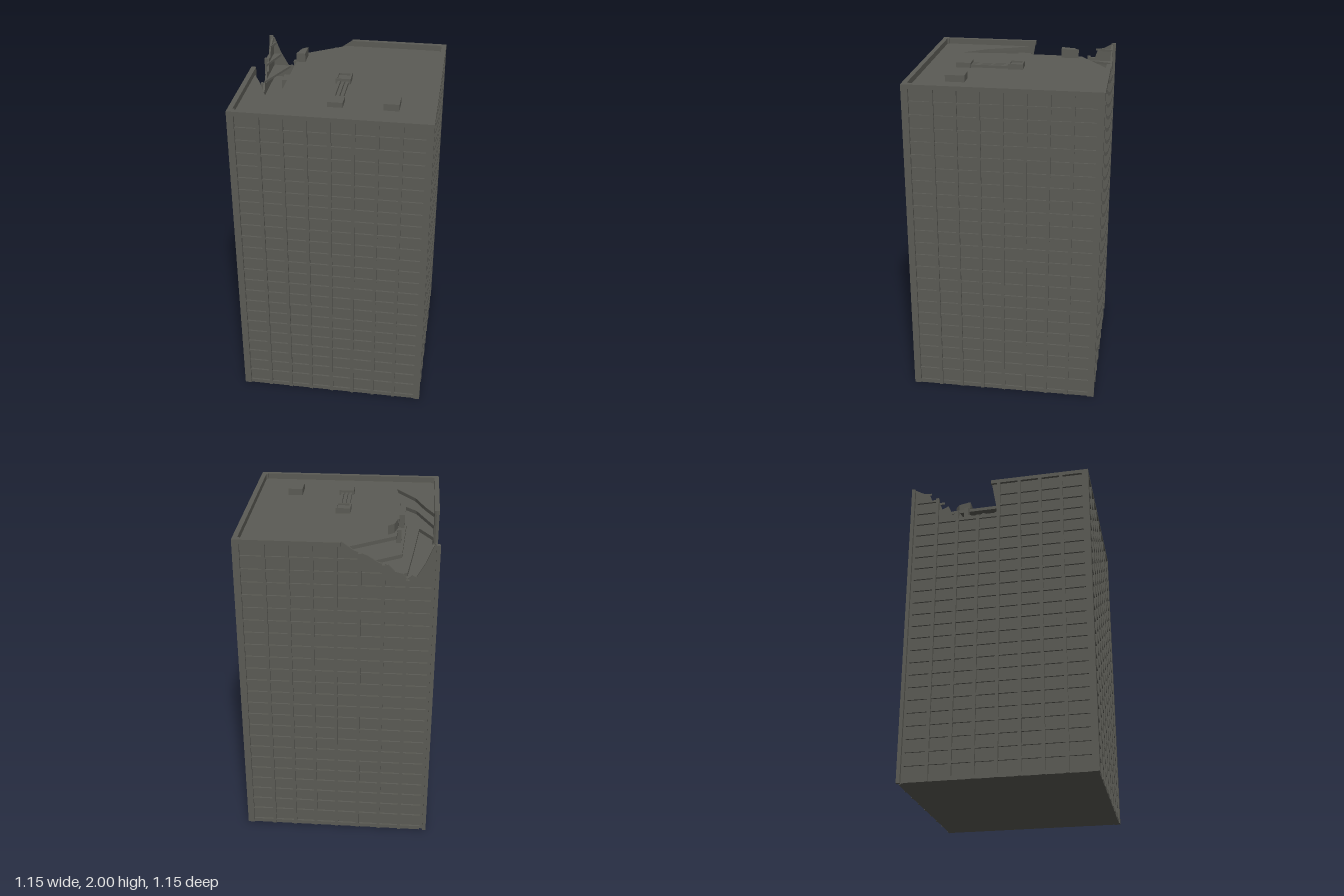
import * as THREE from 'three';
import { mergeGeometries } from 'three/addons/utils/BufferGeometryUtils.js';

const concrete = new THREE.MeshStandardMaterial({ color: 0x5b5b55 });
concrete.name = 'weathered concrete';

const HALF = 0.575, TOP = 1.98, ROOF = 1.945, FLOOR = 0.08, POST = 0.04;
const COLS = 8, ROWS = 24, INNER = HALF - POST;
const PITCH = (2 * INNER) / COLS, STOREY = 1.93 / ROWS;

// Box given by its minimum and maximum corners
function box(x0, x1, y0, y1, z0, z1) {
  return new THREE.BoxGeometry(x1 - x0, y1 - y0, z1 - z0)
    .translate((x0 + x1) / 2, (y0 + y1) / 2, (z0 + z1) / 2);
}

function add(parent, name, geometry) {
  const mesh = new THREE.Mesh(geometry, concrete);
  mesh.name = name;
  parent.add(mesh);
  return mesh;
}

function outline(points) {
  return new THREE.Shape(points.map(([x, y]) => new THREE.Vector2(x, y)));
}

// Horizontal plate from an x/z outline, hanging down from y
function slab(points, y, thickness) {
  return new THREE.ExtrudeGeometry(outline(points), { depth: thickness, bevelEnabled: false })
    .rotateX(Math.PI / 2).translate(0, y, 0);
}

// Height of the wall edge at u along a facade
function heightAt(edge, u) {
  for (let i = 1; i < edge.length; i++) {
    const [a, ya] = edge[i - 1], [b, yb] = edge[i];
    if (u <= b && b > a) return ya + ((yb - ya) * Math.max(0, u - a)) / (b - a);
  }
  return edge[edge.length - 1][1];
}

// One side of the tower: wall plate, mullions, floor ledges and top band
function facade(name, turn, edge, bandFrom, bandTo) {
  const side = new THREE.Group();
  side.name = name;
  side.rotation.y = turn;

  const wall = outline([[-HALF + 0.02, 0], [HALF - 0.02, 0], ...[...edge].reverse()]);
  add(side, 'wallPlate', new THREE.ExtrudeGeometry(wall, { depth: 0.012, bevelEnabled: false })
    .translate(0, 0, 0.546));

  const mullions = [], ledges = [];
  for (let i = 1; i < COLS; i++) {
    const u = -INNER + i * PITCH;
    mullions.push(box(u - 0.01, u + 0.01, 0, heightAt(edge, u), 0.55, HALF));
  }
  for (let i = 0; i < COLS; i++) {
    const u = -INNER + i * PITCH;
    const limit = Math.min(heightAt(edge, u), heightAt(edge, u + PITCH / 2), heightAt(edge, u + PITCH));
    for (let r = 0; r < ROWS; r++) {
      const y = 0.025 + r * STOREY;
      if (y < limit) ledges.push(box(u, u + PITCH, r ? y - 0.007 : 0, r ? y + 0.007 : y, 0.55, 0.569));
    }
  }
  add(side, 'mullions', mergeGeometries(mullions));
  add(side, 'floorLedges', mergeGeometries(ledges));
  add(side, 'parapetBand', box(bandFrom, bandTo, 1.955, TOP, 0.555, HALF));
  return side;
}

export function createModel() {
  const tower = new THREE.Group();
  tower.name = 'damagedTower';

  // Four facades, two of them torn at the shared back corner
  const E = HALF - 0.02;
  const whole = [[-E, TOP], [E, TOP]];
  const tornBack = [[-E, TOP], [0.03, TOP], [0.1, 1.93], [0.17, 1.905], [0.24, 1.86], [0.29, 1.85],
    [0.33, 1.81], [0.37, 1.8], [0.4, 1.765], [0.43, 1.79], [0.45, 1.78], [0.5, 1.87], [0.54, 1.97], [E, TOP]];
  const tornLeft = [[-E, TOP], [-0.5, 1.95], [-0.46, 1.94], [-0.44, 1.88], [-0.4, 1.89], [-0.37, 1.81],
    [-0.33, 1.83], [-0.3, 1.76], [-0.26, 1.78], [-0.23, 1.73], [-0.19, 1.75], [-0.15, 1.72],
    [-0.1, 1.75], [-0.06, 1.73], [-0.01, 1.75], [-0.05, TOP], [E, TOP]];
  tower.add(facade('frontFacade', 0, whole, -INNER, INNER));
  tower.add(facade('leftFacade', Math.PI / 2, whole, -INNER, INNER));
  tower.add(facade('backFacade', Math.PI, tornBack, -INNER, 0.03));
  tower.add(facade('rightFacade', -Math.PI / 2, tornLeft, -0.05, INNER));

  // Corner posts
  for (const sx of [-1, 1]) for (const sz of [-1, 1]) {
    const size = sx + sz === -2 ? 0.022 : POST;
    const post = add(tower, 'cornerPost', new THREE.BoxGeometry(size, TOP, size));
    post.position.set(sx * (HALF - size / 2), TOP / 2, sz * (HALF - size / 2));
  }

  // Roof and upper floors, each broken away further out than the one above
  const W = 0.555;
  const square = [[W, -W], [W, W], [-W, W]];
  const breaks = [
    [[-W, -0.03], [-0.49, 0.1], [-0.43, 0.25], [-0.31, 0.41], [-0.34, 0.2], [-0.34, 0.04], [-0.335, -0.25],
      [-0.33, -0.37], [-0.05, -W]],
    [[-W, -0.02], [-0.44, 0.24], [-0.37, 0.31], [-0.38, 0], [-0.365, -0.44], [-0.19, -W]],
    [[-W, 0], [-0.46, 0.15], [-0.43, -0.2], [-0.4, -0.51], [-0.34, -W]],
    [[-W, -W]],
  ];
  breaks.forEach((cut, i) =>
    add(tower, i ? 'upperFloor' : 'roof', slab([...square, ...cut], ROOF - i * FLOOR, 0.022)));
  add(tower, 'base', box(-W, W, 0, 0.02, -W, W));

  // Scraps of floor left hanging in the broken corner
  [[0.11, 0.03], [0.2, 0.06], [0.29, 0.12]].forEach(([dz, dx], i) =>
    add(tower, 'floorScrap', slab([[-W, -W], [-W + dx, -W], [-W, -W + dz]], ROOF - i * FLOOR, 0.015)));

  // Exposed columns beneath the torn roof edge
  add(tower, 'exposedColumn', box(-0.37, -0.335, 1.7, ROOF, -0.045, 0.04));
  add(tower, 'exposedColumn', box(-0.355, -0.325, 1.7, ROOF, -0.28, -0.25));

  // Broken stair head beside the crater
  add(tower, 'brokenStairHead',
    slab([[-0.28, -0.355], [-0.28, -0.245], [-0.335, -0.245], [-0.315, -0.325]], 2, 0.07));

  // Roof hatch
  add(tower, 'roofHatch', box(0.275, 0.365, ROOF, 1.985, 0.25, 0.365));

  // Ventilation units joined by ducts; the rear one has an open rim
  add(tower, 'frontVent', box(-0.045, 0.045, ROOF, 1.975, 0.275, 0.365));
  add(tower, 'rearVent', box(-0.045, 0.045, ROOF, 1.967, -0.045, 0.045));
  add(tower, 'rearVentRim', mergeGeometries([
    box(-0.045, 0.045, 1.967, 1.978, -0.045, -0.035), box(-0.045, 0.045, 1.967, 1.978, 0.035, 0.045),
    box(-0.045, -0.035, 1.967, 1.978, -0.035, 0.035), box(0.035, 0.045, 1.967, 1.978, -0.035, 0.035)]));
  for (const x of [-0.025, 0, 0.025]) {
    add(tower, 'roofDuct', box(x - 0.008, x + 0.008, ROOF, 1.962, 0.045, 0.275));
  }
  return tower;
}
